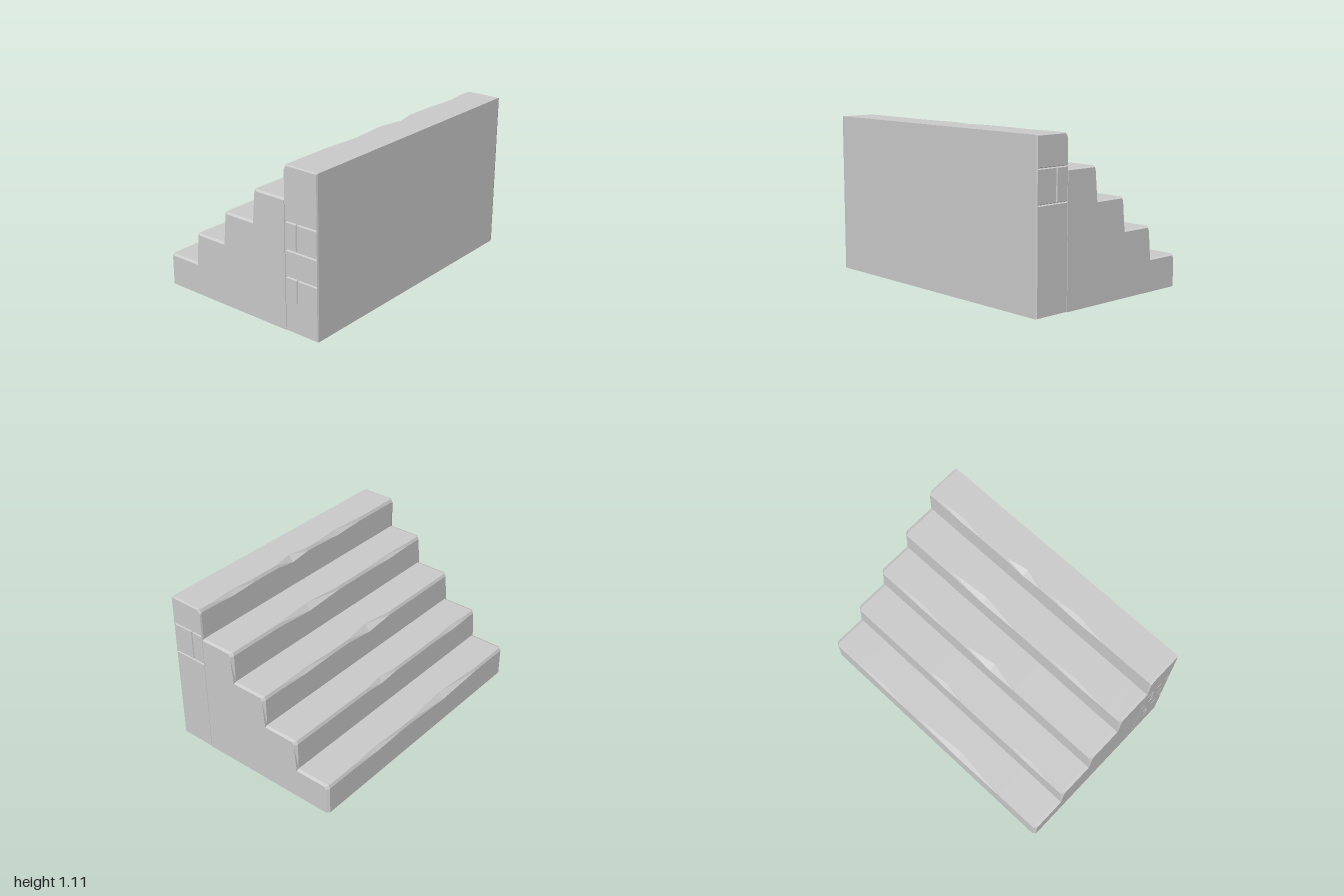
import * as THREE from 'three';

const material = new THREE.MeshStandardMaterial({ color: 0xcccccc, flatShading: true });
const EDGES = [-0.655, -0.393, -0.131, 0.131, 0.393, 0.655]; // riser positions along x
const RISE = 0.222;

// worn spots on each nosing: [centre z, half width, depth]
const CHIPS = [
  [[0.25, 0.4, 0.03], [-0.5, 0.25, 0.012]],
  [[-0.12, 0.15, 0.02], [0.7, 0.2, 0.012]],
  [[0.07, 0.22, 0.035], [-0.6, 0.25, 0.012]],
  [[-0.25, 0.3, 0.03], [0.6, 0.25, 0.012]],
  [[-0.12, 0.15, 0.03], [0.35, 0.25, 0.018], [-0.7, 0.2, 0.015]],
];

// one full-height stone course: cross-sections lofted along z
function stepGeometry(i, end) {
  const x0 = EDGES[i], x1 = EDGES[i + 1], top = RISE * (i + 1), base = RISE * i;
  const chips = CHIPS[i];
  const stations = [-end, -end + 0.02, end - 0.02, end];
  chips.forEach(([z, w]) => stations.push(z - w, z, z + w));
  stations.sort((a, b) => a - b);

  const rings = stations.map((z) => {
    let a = 0.01;
    for (const [c, w, d] of chips) a += d * Math.max(0, 1 - Math.abs(z - c) / w);
    const atEnd = Math.abs(z) > end - 0.001;
    const inset = atEnd && end === 1 ? 0.018 : 0;
    const drop = atEnd && end === 1 ? 0.008 : 0;
    const foot = i === 0 ? inset : 0;
    const y = top - drop;
    return [
      [x0 + foot, 0], [x1, 0], [x1, y], [x0 + inset + a, y],
      [x0 + inset, y - 0.015 - 0.7 * a], [x0 + foot, base],
    ].map(([px, py]) => new THREE.Vector3(px, py, z));
  });

  const points = [];
  for (let k = 0; k < rings.length - 1; k++) {
    const r = rings[k], s = rings[k + 1];
    for (let j = 0; j < 6; j++) {
      const n = (j + 1) % 6;
      points.push(r[j], r[n], s[n], r[j], s[n], s[j]);
    }
  }
  const first = rings[0], last = rings[rings.length - 1];
  for (const [a, b] of [[2, 3], [3, 4], [4, 5], [5, 0]]) {
    points.push(last[1], last[a], last[b], first[1], first[b], first[a]);
  }
  const geometry = new THREE.BufferGeometry().setFromPoints(points);
  geometry.computeVertexNormals();
  return geometry;
}

// mortar joint outline: upper bed, upright, and an optional lower bed
function joint(u, side, yTop, yBottom, lowerBed) {
  const t = 0.002, w = 0.122;
  const pts = [
    [-w, yTop + t], [w, yTop + t], [w, yTop - t], [u + t, yTop - t],
  ];
  if (lowerBed) {
    pts.push([u + t, yBottom + t], [w, yBottom + t], [w, yBottom - t],
      [-w, yBottom - t], [-w, yBottom + t], [u - t, yBottom + t]);
  } else {
    pts.push([u + t, yBottom], [u - t, yBottom]);
  }
  pts.push([u - t, yTop - t], [-w, yTop - t]);
  return new THREE.Path(pts.map(([x, y]) => new THREE.Vector2(x, y)));
}

// masonry facing on an end of the tallest course; side is +1 front, -1 back
function facing(side, joints) {
  const w = (EDGES[5] - EDGES[4]) / 2, h = RISE * 5;
  const outline = [[-w, 0], [w, 0], [w, h], [-w, h]];
  // worn top corner on the riser side
  if (side > 0) outline.splice(3, 1, [-w + 0.02, h], [-w, h - 0.03]);
  else outline.splice(2, 1, [w, h - 0.03], [w - 0.02, h]);
  const shape = new THREE.Shape(outline.map(([x, y]) => new THREE.Vector2(x, y)));
  shape.holes = joints;
  const geometry = new THREE.ExtrudeGeometry(shape, {
    depth: 0.003, bevelEnabled: true, bevelThickness: 0.012,
    bevelSize: 0.004, bevelOffset: -0.004, bevelSegments: 1,
  });
  const mesh = new THREE.Mesh(geometry, material);
  mesh.position.set((EDGES[4] + EDGES[5]) / 2, 0, side * 0.985);
  if (side < 0) mesh.rotation.y = Math.PI;
  return mesh;
}

export function createModel() {
  const stairs = new THREE.Group();
  stairs.name = 'stoneStairs';

  // five courses rising toward +x
  for (let i = 0; i < 5; i++) {
    const step = new THREE.Mesh(stepGeometry(i, i === 4 ? 0.985 : 1), material);
    step.name = 'step' + (i + 1);
    stairs.add(step);
  }

  // jointed stone ends of the top course
  const front = facing(1, [
    joint(-0.034, 1, 0.747, 0.558, true),
    joint(-0.034, 1, 0.375, 0.21, false),
  ]);
  front.name = 'frontMasonry';
  const back = facing(-1, [joint(0.034, -1, 0.91, 0.69, true)]);
  back.name = 'backMasonry';
  stairs.add(front, back);
  return stairs;
}
